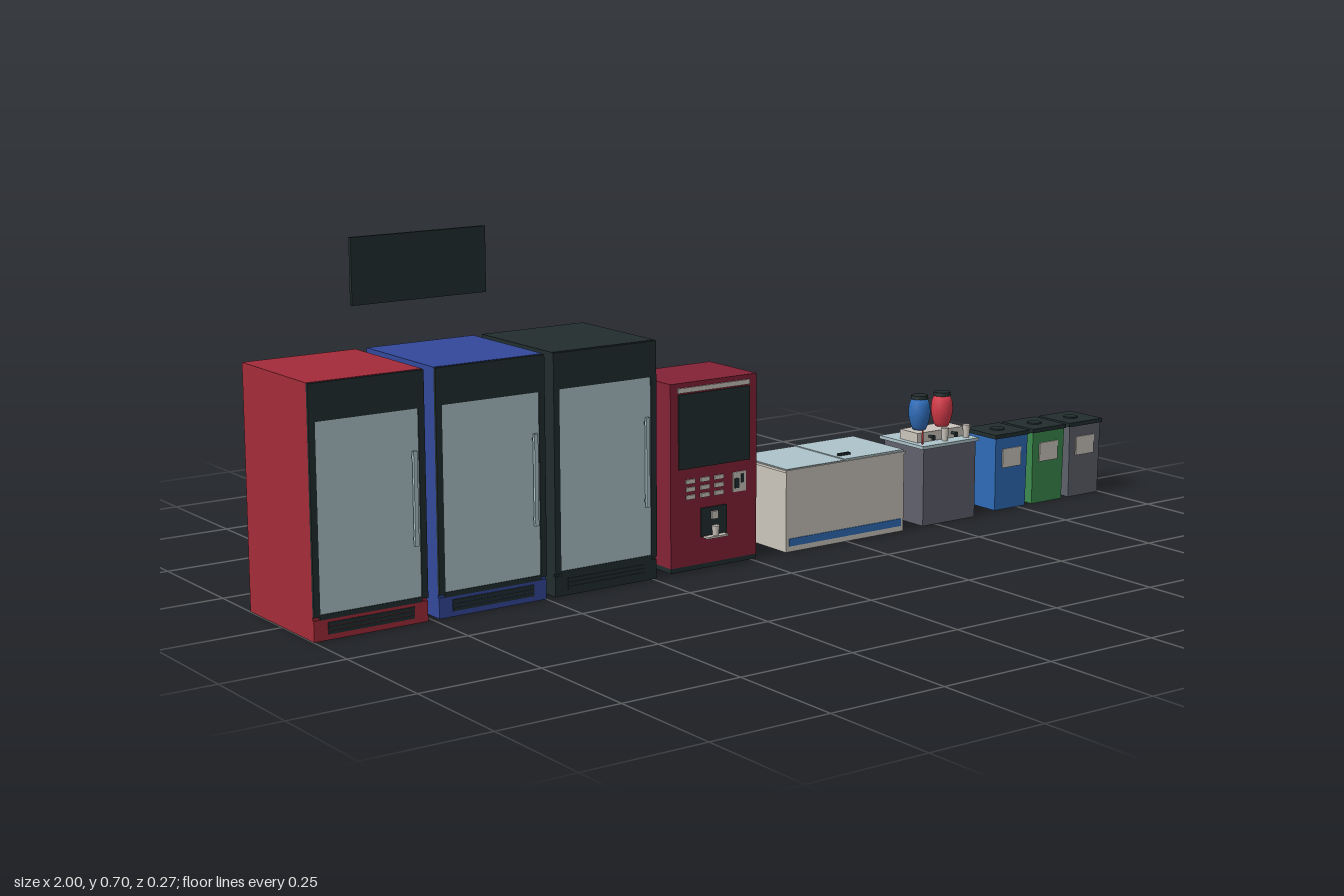
import * as THREE from 'three';

const mat = (name, color) => {
  const m = new THREE.MeshStandardMaterial({ color });
  m.name = name;
  return m;
};

export function createModel() {
  const root = new THREE.Group();
  root.name = 'refreshmentArea';
  const red = mat('red', 0xa32b39), crimson = mat('crimson', 0x842236), navy = mat('royalBlue', 0x33489a);
  const dark = mat('charcoal', 0x222d2e), glass = mat('paleGlass', 0xacc3ca), cream = mat('cream', 0xcac4bb);
  const blue = mat('blue', 0x2f6cb8), green = mat('green', 0x3c8a4e), grey = mat('grey', 0x5f616b);
  const bright = mat('brightRed', 0xd23a48);

  const group = (name) => {
    const g = new THREE.Group();
    g.name = name;
    root.add(g);
    return g;
  };
  const add = (g, name, geo, m) => {
    const mesh = new THREE.Mesh(geo, m);
    mesh.name = name;
    g.add(mesh);
    return mesh;
  };
  // Box given by its limits on each axis
  const box = (g, name, m, x0, x1, y0, y1, z0, z1) => {
    const b = add(g, name, new THREE.BoxGeometry(x1 - x0, y1 - y0, z1 - z0), m);
    b.position.set((x0 + x1) / 2, (y0 + y1) / 2, (z0 + z1) / 2);
    return b;
  };
  const cyl = (g, name, m, rt, rb, h, x, y, z) => {
    const c = add(g, name, new THREE.CylinderGeometry(rt, rb, h, 20), m);
    c.position.set(x, y + h / 2, z);
    return c;
  };

  // Glass-door fridges: hollow cabinet, open at the back
  [[-0.88, red], [-0.618, navy], [-0.36, dark]].forEach(([cx, m], i) => {
    const g = group('fridge' + (i + 1));
    const w = 0.119;
    const shape = new THREE.Shape([[-w, 0], [w, 0], [w, 0.48], [-w, 0.48]].map((p) => new THREE.Vector2(...p)));
    shape.holes.push(new THREE.Path([[-0.104, 0.05], [-0.104, 0.41], [0.104, 0.41], [0.104, 0.05]]
      .map((p) => new THREE.Vector2(...p))));
    const body = add(g, 'cabinet', new THREE.ExtrudeGeometry(shape, { depth: 0.253, bevelEnabled: false }), m);
    body.position.set(cx, 0, -0.133);
    box(g, 'header', dark, cx - w, cx + w, 0.413, 0.479, 0.12, 0.126);
    // Door frame and pane
    for (const s of [-1, 1]) {
      const x = cx + s * 0.1125;
      box(g, 'doorStile', dark, x - 0.0065, x + 0.0065, 0.046, 0.413, 0.12, 0.126);
    }
    box(g, 'doorRail', dark, cx - 0.106, cx + 0.106, 0.04, 0.05, 0.12, 0.126);
    box(g, 'doorRail', dark, cx - 0.106, cx + 0.106, 0.408, 0.413, 0.12, 0.126);
    box(g, 'doorGlass', glass, cx - 0.106, cx + 0.106, 0.05, 0.408, 0.12, 0.124);
    // Handle on two posts
    box(g, 'handle', glass, cx + 0.09, cx + 0.098, 0.15, 0.33, 0.128, 0.134);
    for (const y of [0.16, 0.315]) box(g, 'handlePost', dark, cx + 0.091, cx + 0.097, y, y + 0.006, 0.123, 0.129);
    // Kick plate and grille slats
    box(g, 'kickPlate', m, cx - w, cx + w, 0, 0.04, 0.12, 0.124);
    for (let k = 0; k < 3; k++) {
      box(g, 'grilleSlat', dark, cx - 0.09, cx + 0.09, 0.011 + k * 0.008, 0.0175 + k * 0.008, 0.123, 0.126);
    }
  });

  // Hanging sign board
  box(group('signBoard'), 'panel', dark, -0.77, -0.473, 0.565, 0.696, -0.133, -0.125);

  // Hot drinks machine
  const v = group('drinksMachine');
  box(v, 'plinth', dark, -0.199, 0.012, 0, 0.01, -0.044, 0.114);
  box(v, 'cabinet', crimson, -0.2, 0.013, 0.01, 0.385, -0.045, 0.115);
  box(v, 'screen', dark, -0.181, -0.006, 0.21, 0.362, 0.113, 0.118);
  box(v, 'lightStrip', cream, -0.183, -0.006, 0.365, 0.375, 0.113, 0.118);
  for (let r = 0; r < 3; r++) {
    for (let c = 0; c < 3; c++) {
      const x = -0.163 + c * 0.035, y = 0.147 + r * 0.016;
      box(v, 'button', cream, x, x + 0.022, y, y + 0.009, 0.113, 0.118);
    }
  }
  box(v, 'coinPanel', cream, -0.047, -0.015, 0.147, 0.188, 0.113, 0.117);
  box(v, 'coinSlot', dark, -0.027, -0.021, 0.165, 0.183, 0.116, 0.119);
  box(v, 'keypad', dark, -0.043, -0.033, 0.155, 0.175, 0.116, 0.119);
  box(v, 'cupNiche', dark, -0.127, -0.063, 0.066, 0.125, 0.113, 0.118);
  box(v, 'nozzle', cream, -0.103, -0.087, 0.1, 0.116, 0.117, 0.122);
  box(v, 'dripTray', cream, -0.12, -0.07, 0.063, 0.067, 0.115, 0.132);
  cyl(v, 'cup', cream, 0.008, 0.006, 0.02, -0.095, 0.067, 0.123);

  // Chest freezer with two sliding lids
  const f = group('chestFreezer');
  box(f, 'chest', cream, 0.09, 0.405, 0, 0.168, -0.056, 0.115);
  box(f, 'rim', cream, 0.088, 0.407, 0.168, 0.173, -0.058, 0.117);
  box(f, 'lidLeft', glass, 0.244, 0.404, 0.173, 0.177, -0.055, 0.114);
  box(f, 'lidRight', glass, 0.091, 0.251, 0.172, 0.175, -0.055, 0.114);
  box(f, 'lidHandle', dark, 0.252, 0.282, 0.177, 0.182, 0.079, 0.086);
  box(f, 'stripe', blue, 0.098, 0.397, 0.012, 0.028, 0.114, 0.117);

  // Drinks counter
  const c = group('drinksCounter');
  box(c, 'cupboard', grey, 0.464, 0.611, 0, 0.17, -0.02, 0.11);
  box(c, 'worktop', glass, 0.458, 0.617, 0.169, 0.176, -0.03, 0.115);
  box(c, 'dispenserBase', cream, 0.472, 0.603, 0.176, 0.197, 0.021, 0.08);
  const profile = [[0, 0], [0.014, 0], [0.018, 0.008], [0.0225, 0.024], [0.024, 0.038], [0.0225, 0.054],
    [0.018, 0.066], [0, 0.068]].map((p) => new THREE.Vector2(...p));
  [[0.505, blue], [0.569, bright]].forEach(([x, m]) => {
    const jar = add(c, 'drinkJar', new THREE.LatheGeometry(profile, 24), m);
    jar.position.set(x, 0.197, 0.046);
    cyl(c, 'jarLid', dark, 0.018, 0.019, 0.008, x, 0.264, 0.046);
    // Tap with spout
    const tap = cyl(c, 'tap', dark, 0.003, 0.003, 0.014, x, 0.18, 0.086);
    tap.rotation.x = Math.PI / 2;
    box(c, 'spout', dark, x - 0.003, x + 0.003, 0.18, 0.191, 0.09, 0.096);
  });
  cyl(c, 'cupStack', cream, 0.0085, 0.0065, 0.028, 0.537, 0.176, 0.094);
  cyl(c, 'cupStack', cream, 0.0085, 0.0065, 0.028, 0.598, 0.176, 0.094);
  cyl(c, 'stirrer', bright, 0.002, 0.002, 0.03, 0.474, 0.176, 0.094);

  // Recycling bins with gently tapered bodies
  [[0.729, blue], [0.839, green], [0.95, grey]].forEach(([x, m], i) => {
    const g = group('bin' + (i + 1));
    const geo = new THREE.BoxGeometry(0.094, 0.162, 0.094);
    const p = geo.attributes.position;
    for (let k = 0; k < p.count; k++) {
      if (p.getY(k) < 0) p.setXYZ(k, p.getX(k) * 0.95, p.getY(k), p.getZ(k) * 0.95);
    }
    geo.computeVertexNormals();
    add(g, 'body', geo, m).position.set(x, 0.081, 0.05);
    box(g, 'lid', dark, x - 0.05, x + 0.05, 0.161, 0.17, -0.002, 0.1);
    cyl(g, 'lidRing', dark, 0.016, 0.016, 0.003, x, 0.17, 0.05);
    box(g, 'label', cream, x - 0.027, x + 0.027, 0.094, 0.136, 0.094, 0.099);
  });
  return root;
}
